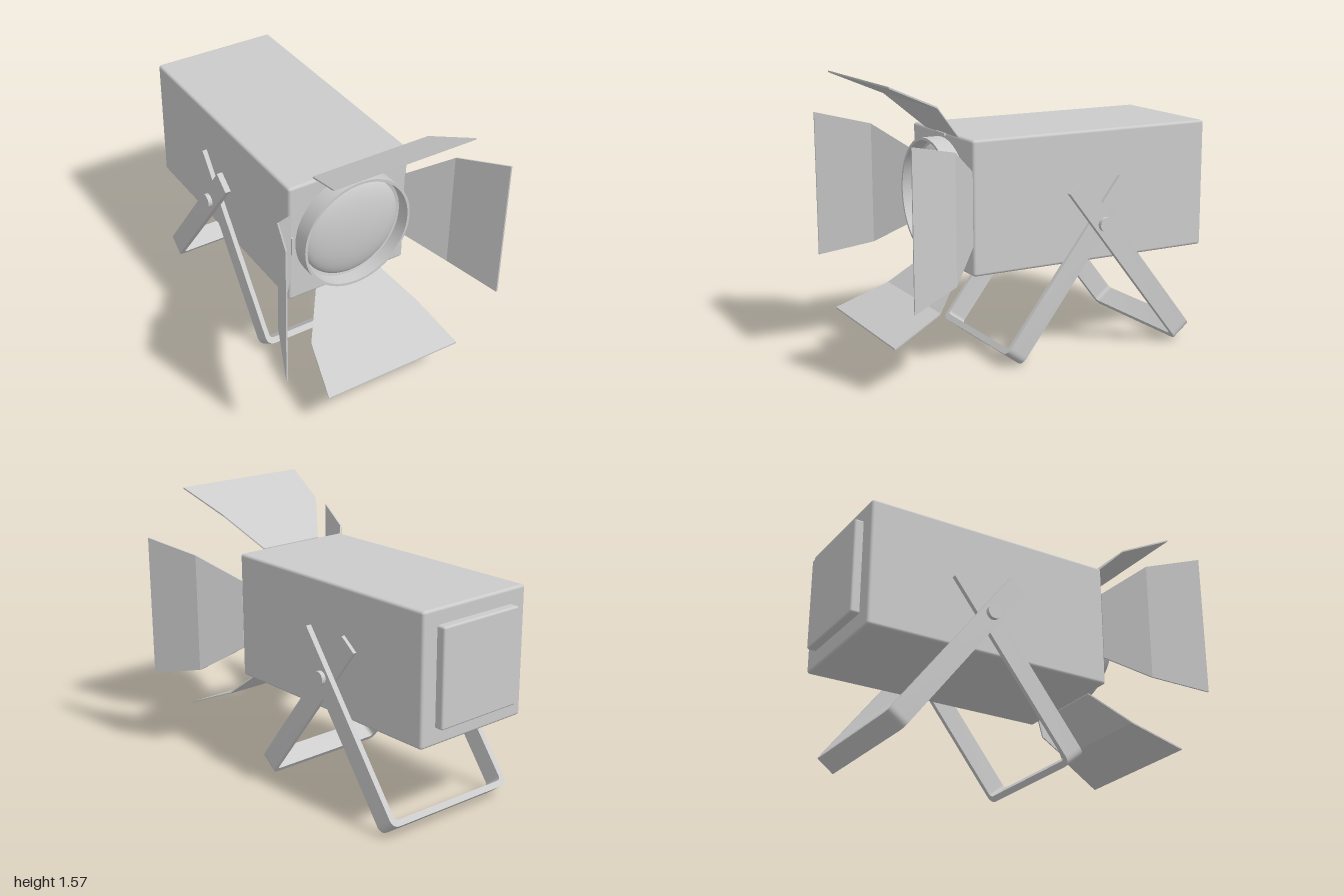
import * as THREE from 'three';
import { toCreasedNormals } from 'three/addons/utils/BufferGeometryUtils.js';
import { RoundedBoxGeometry } from 'three/addons/geometries/RoundedBoxGeometry.js';

const CENTRE_Y = 0.902;
const grey = new THREE.MeshStandardMaterial({ color: 0xcccccc });

function part(parent, name, geometry, x = 0, y = 0, z = 0) {
  const mesh = new THREE.Mesh(geometry, grey);
  mesh.name = name;
  mesh.position.set(x, y, z);
  parent.add(mesh);
  return mesh;
}

// Folded, flared barn door: a thin box with three rows moved to the fold lines
function doorGeometry() {
  const halfWidths = [0.2, 0.345, 0.415];
  const radii = [0.36, 0.544, 0.669];
  const depths = [0.522, 0.71, 1.0];
  const geo = new THREE.BoxGeometry(2, 0.009, 1, 1, 1, 2);
  const p = geo.attributes.position;
  for (let i = 0; i < p.count; i++) {
    const k = Math.round((p.getZ(i) + 0.5) * 2);
    p.setXYZ(i, p.getX(i) * halfWidths[k], radii[k] + p.getY(i), depths[k]);
  }
  return toCreasedNormals(geo, 0.2);
}

// U-shaped strap with rounded lower corners, its pivot at the origin
function yokeGeometry(half, thickness) {
  const bottom = -0.89, top = 0.275, width = 0.118, r = 0.05;
  const inner = half - thickness, floor = bottom + 0.035, ri = 0.025;
  const s = new THREE.Shape();
  s.moveTo(-half, top);
  s.lineTo(-half, bottom + r);
  s.quadraticCurveTo(-half, bottom, -half + r, bottom);
  s.lineTo(half - r, bottom);
  s.quadraticCurveTo(half, bottom, half, bottom + r);
  s.lineTo(half, top);
  s.lineTo(inner, top);
  s.lineTo(inner, floor + ri);
  s.quadraticCurveTo(inner, floor, inner - ri, floor);
  s.lineTo(-inner + ri, floor);
  s.quadraticCurveTo(-inner, floor, -inner, floor + ri);
  s.lineTo(-inner, top);
  s.closePath();
  const geo = new THREE.ExtrudeGeometry(s, { depth: width, bevelEnabled: false, curveSegments: 6 });
  geo.translate(0, 0, -width / 2);
  return toCreasedNormals(geo, 0.5);
}

export function createModel() {
  const model = new THREE.Group();
  model.name = 'stageLight';

  // Housing and rear cover
  part(model, 'housing', new RoundedBoxGeometry(0.74, 0.728, 1.473, 2, 0.016), 0, CENTRE_Y, -0.2135);
  part(model, 'rearCover', new RoundedBoxGeometry(0.544, 0.546, 0.09, 2, 0.012), 0, 0.907, -0.955);

  // Lens tube and domed lens
  const profile = [[0.33, 0.5], [0.33, 0.62], [0.315, 0.62], [0.312, 0.545], [0.29, 0.54]]
    .map(([r, z]) => new THREE.Vector2(r, z));
  const tube = toCreasedNormals(new THREE.LatheGeometry(profile, 64), 0.5);
  part(model, 'lensTube', tube.rotateX(Math.PI / 2), 0, 0.905, 0);
  const dome = new THREE.SphereGeometry(0.296, 64, 20, 0, Math.PI * 2, 0, Math.PI / 2);
  dome.rotateX(Math.PI / 2).scale(1, 1, 0.27);
  part(model, 'lens', dome, 0, 0.905, 0.535);

  // Four barn doors with hinges
  const doorGeo = doorGeometry();
  const hingeGeo = new THREE.BoxGeometry(0.11, 0.014, 0.03);
  ['top', 'left', 'bottom', 'right'].forEach((side, i) => {
    const door = new THREE.Group();
    door.name = side + 'BarnDoor';
    door.position.y = 0.903;
    door.rotation.z = -i * Math.PI / 2;
    part(door, side + 'DoorPanel', doorGeo);
    part(door, side + 'DoorHinge', hingeGeo, 0, 0.352, 0.52);
    model.add(door);
  });

  // Two crossed stand yokes, the narrow one nested inside the wide one
  const front = part(model, 'frontYoke', yokeGeometry(0.395, 0.027), -0.004, 0.75, -0.25);
  front.rotation.x = -0.656;
  const rear = part(model, 'rearYoke', yokeGeometry(0.431, 0.033), 0, 0.75, -0.25);
  rear.rotation.set(0.656, 0, 0.016);

  // Pivot bolts
  for (const side of [-1, 1]) {
    const name = side > 0 ? 'left' : 'right';
    const bolt = new THREE.CylinderGeometry(0.04, 0.04, 0.025, 24).rotateZ(Math.PI / 2);
    part(model, name + 'BoltHead', bolt, side * 0.444, 0.75, -0.25);
    const shank = new THREE.CylinderGeometry(0.02, 0.02, 0.1, 16).rotateZ(Math.PI / 2);
    part(model, name + 'BoltShank', shank, side * 0.39, 0.75, -0.25);
  }
  return model;
}
